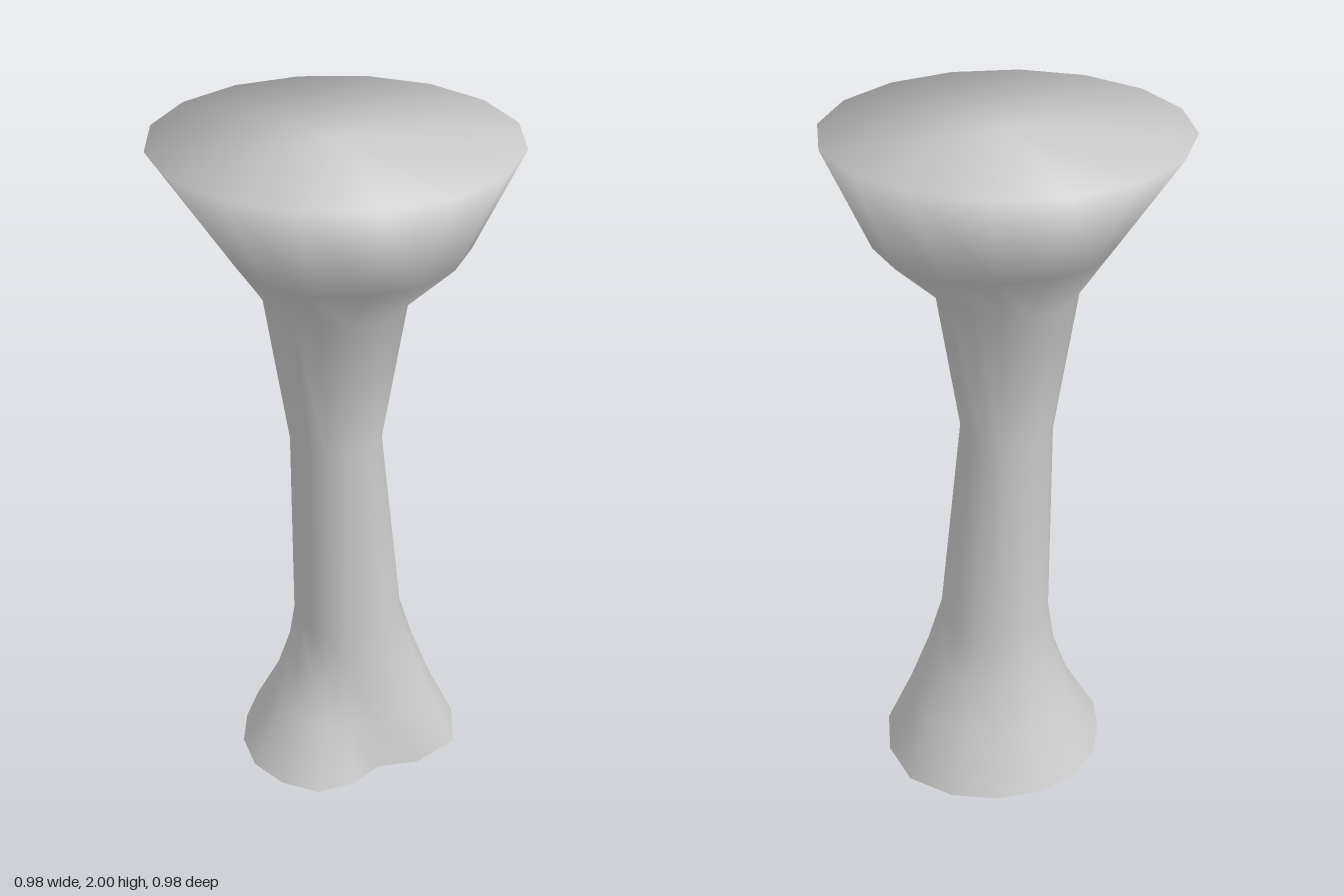
import * as THREE from 'three';

const SIDES = 16;

// Each ring: height, then radii in eight directions, from +x through +z, -x and -z.
const RINGS = [
  [0, [0.385, 0.23, 0.305, 0.31, 0.295, 0.32, 0.347, 0.395]],
  [0.18, [0.305, 0.2, 0.195, 0.2, 0.205, 0.23, 0.255, 0.31]],
  [0.34, [0.245, 0.17, 0.14, 0.145, 0.15, 0.18, 0.22, 0.25]],
  [0.49, [0.2, 0.165, 0.145, 0.13, 0.128, 0.15, 0.18, 0.205]],
  [1.12, Array(8).fill(0.133)],
  [1.56, Array(8).fill(0.2)],
  [1.72, [0.36, 0.36, 0.355, 0.31, 0.29, 0.32, 0.335, 0.37]],
  [2, Array(8).fill(0.488)],
];

// Radius at one of the 16 sides, blended between the eight given directions.
function radiusAt(radii, side) {
  const t = (side * 8) / SIDES;
  const k = Math.floor(t);
  return THREE.MathUtils.lerp(radii[k % 8], radii[(k + 1) % 8], t - k);
}

function createPedestalGeometry() {
  const positions = [];
  const indices = [];

  for (const [y, radii] of RINGS) {
    for (let s = 0; s < SIDES; s++) {
      const angle = (s / SIDES) * Math.PI * 2;
      const r = radiusAt(radii, s);
      positions.push(r * Math.cos(angle), y, r * Math.sin(angle));
    }
  }

  // Wall between neighbouring rings, left open at the foot
  for (let i = 0; i < RINGS.length - 1; i++) {
    for (let s = 0; s < SIDES; s++) {
      const next = (s + 1) % SIDES;
      const a = i * SIDES + s;
      const b = i * SIDES + next;
      indices.push(a, a + SIDES, b + SIDES, a, b + SIDES, b);
    }
  }

  // Flat top, sharing the rim so that the shading runs over it smoothly
  const rim = (RINGS.length - 1) * SIDES;
  const centre = positions.length / 3;
  positions.push(0, 2, 0);
  for (let s = 0; s < SIDES; s++) {
    indices.push(centre, rim + ((s + 1) % SIDES), rim + s);
  }

  const geometry = new THREE.BufferGeometry();
  geometry.setAttribute('position', new THREE.Float32BufferAttribute(positions, 3));
  geometry.setIndex(indices);
  geometry.computeVertexNormals();
  return geometry;
}

export function createModel() {
  const group = new THREE.Group();
  group.name = 'pedestal';

  const material = new THREE.MeshStandardMaterial({ color: 0xcccccc, side: THREE.DoubleSide });
  const body = new THREE.Mesh(createPedestalGeometry(), material);
  body.name = 'flaredColumn';
  group.add(body);

  return group;
}
